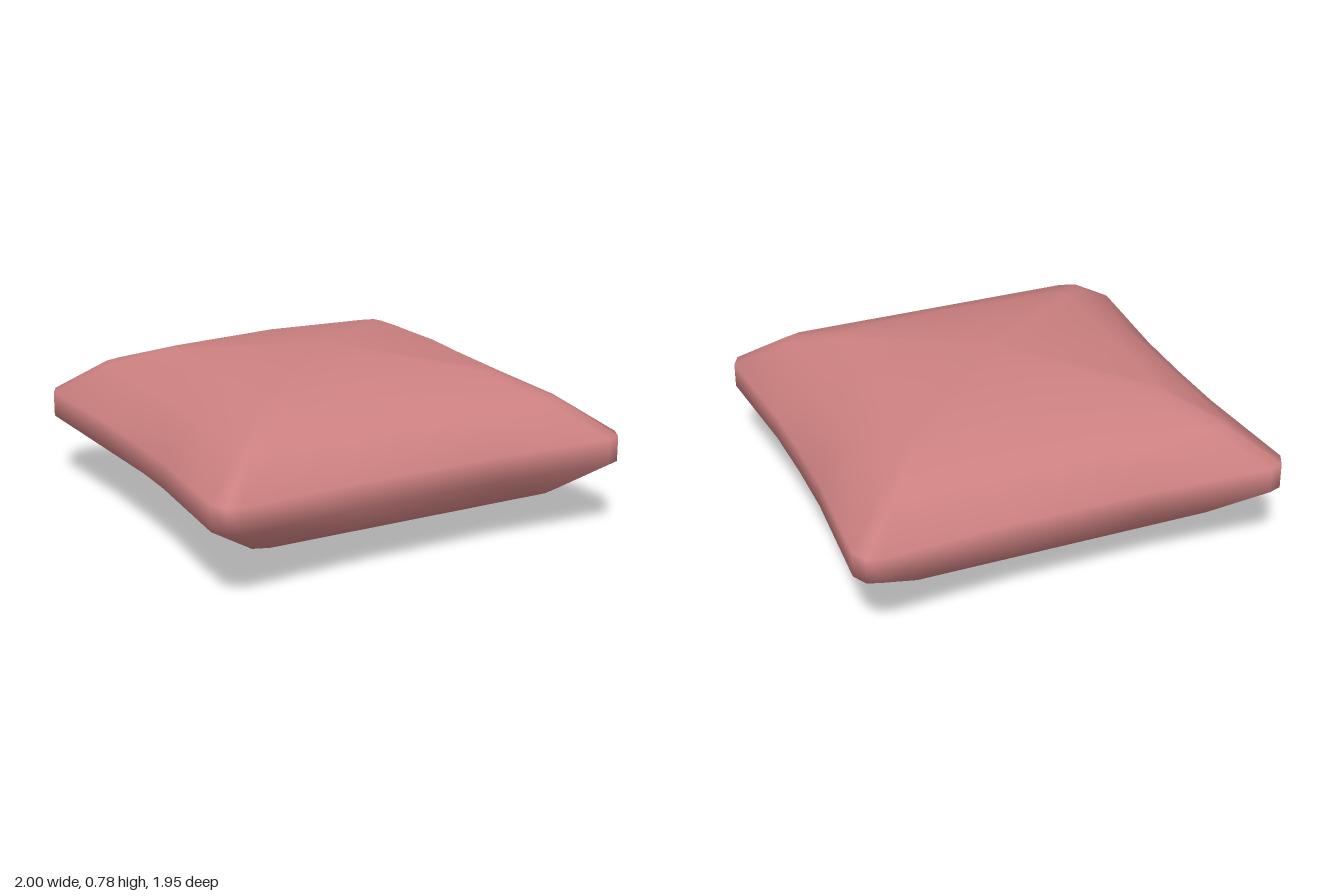
import * as THREE from 'three';

const CENTRE_Y = 0.392;

// One quarter [x, z] of each square ring, running from the +x middle to the +z middle
const crown = [[0.585, 0], [0.585, 0.2], [0.58, 0.48], [0.565, 0.525], [0.5, 0.54], [0.2, 0.54], [0, 0.54]];
const shoulder = [[0.785, 0], [0.785, 0.27], [0.785, 0.7], [0.765, 0.775], [0.69, 0.8], [0.27, 0.8], [0, 0.8]];
const rim = [[0.955, 0], [0.96, 0.32], [1, 0.885], [0.965, 0.955], [0.905, 0.975], [0.33, 0.94], [0, 0.94]];

// Mirror a quarter into a closed ring
function fullRing(q) {
  const back = [...q].reverse();
  return [
    ...q.slice(0, -1),
    ...back.slice(0, -1).map(([x, z]) => [-x, z]),
    ...q.slice(0, -1).map(([x, z]) => [-x, -z]),
    ...back.slice(0, -1).map(([x, z]) => [x, -z]),
  ];
}

function cushionGeometry() {
  // Rings from top to bottom: outline, height, and how far the corners sag
  const half = [[crown, 0.325, 0.015], [shoulder, 0.213, 0], [rim, 0.058, 0]];
  const layers = [...half, ...[...half].reverse().map(([q, h, s]) => [q, -h, -s])];
  const positions = [0, CENTRE_Y + 0.392, 0];
  const index = [];
  let n = 0;
  for (const [quarter, h, sag] of layers) {
    const ring = fullRing(quarter);
    n = ring.length;
    for (const [x, z] of ring) {
      const corner = Math.min(1, Math.abs(x * z) / 0.28);
      positions.push(x, CENTRE_Y + h - sag * corner, z);
    }
  }
  const last = positions.length / 3;
  positions.push(0, CENTRE_Y - 0.392, 0);

  for (let j = 0; j < n; j++) {
    const k = (j + 1) % n;
    // Top and bottom fans
    index.push(0, 1 + k, 1 + j);
    index.push(last, last - n + j, last - n + k);
    // Bands between rings
    for (let i = 0; i < layers.length - 1; i++) {
      const a = 1 + i * n + j, b = 1 + i * n + k;
      index.push(a, b, a + n, b, b + n, a + n);
    }
  }
  const geo = new THREE.BufferGeometry();
  geo.setAttribute('position', new THREE.Float32BufferAttribute(positions, 3));
  geo.setIndex(index);
  geo.computeVertexNormals();
  return geo;
}

export function createModel() {
  const group = new THREE.Group();
  group.name = 'pillow';
  const cushion = new THREE.Mesh(cushionGeometry(), new THREE.MeshStandardMaterial({ color: 0xcc8080 }));
  cushion.name = 'cushion';
  group.add(cushion);
  return group;
}
